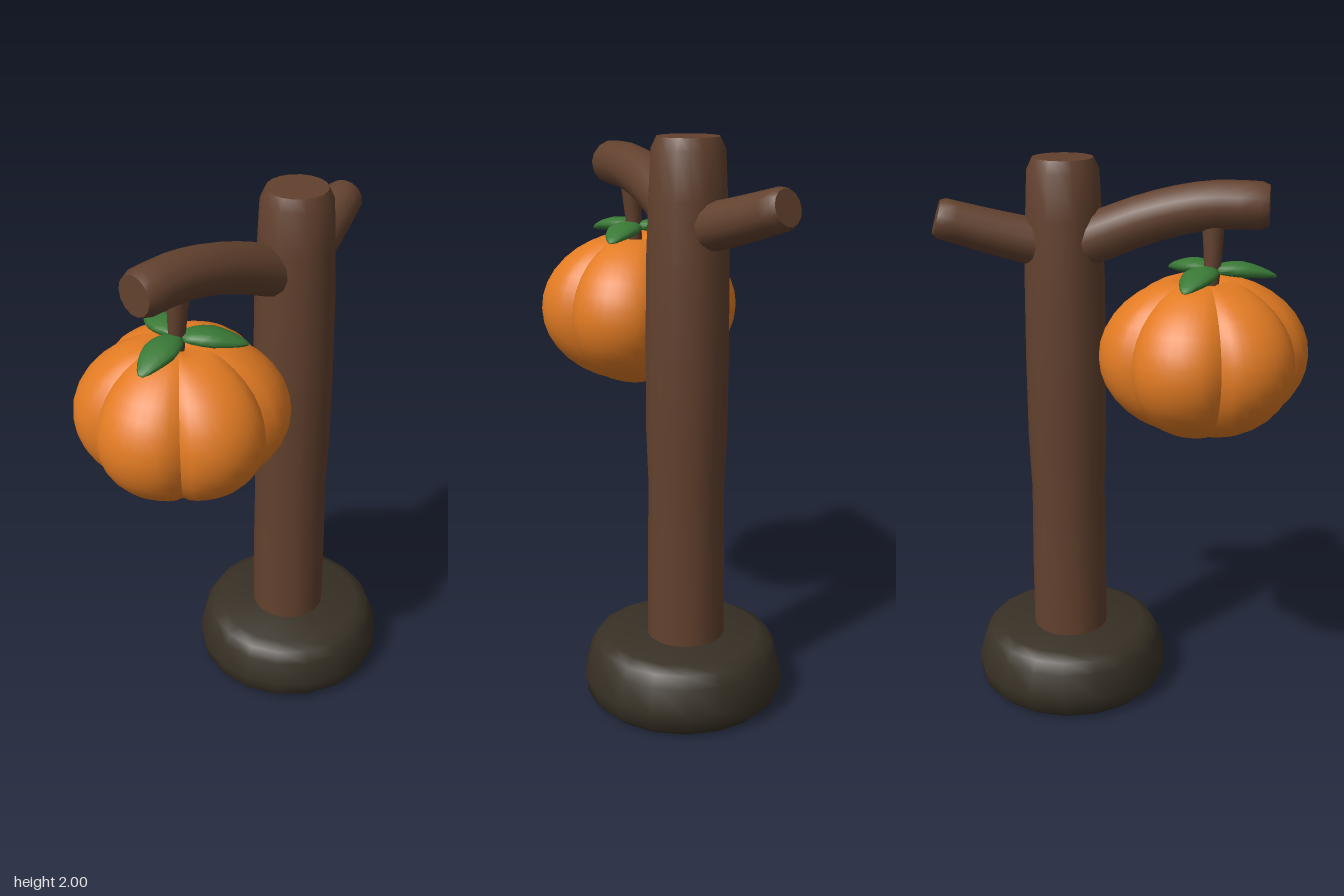
import * as THREE from 'three';
import { mergeVertices, toCreasedNormals } from 'three/addons/utils/BufferGeometryUtils.js';

const V = (x, y, z) => new THREE.Vector3(x, y, z);

const material = (name, color) => {
  const m = new THREE.MeshStandardMaterial({ color });
  m.name = name;
  return m;
};

// Moves every vertex by a rule, then rebuilds normals
function reshape(geometry, rule, crease = 0.9) {
  const p = geometry.attributes.position;
  const v = V(0, 0, 0);
  for (let i = 0; i < p.count; i++) {
    rule(v.fromBufferAttribute(p, i));
    p.setXYZ(i, v.x, v.y, v.z);
  }
  geometry.deleteAttribute('normal');
  geometry.deleteAttribute('uv');
  return toCreasedNormals(mergeVertices(geometry, 1e-5), crease);
}

const lathe = (profile, segments) =>
  new THREE.LatheGeometry(profile.map(([r, y]) => new THREE.Vector2(r, y)), segments);

// Round limb that follows a curve, with a softly bevelled end
function limb(points, r0, r1) {
  const curve = new THREE.CatmullRomCurve3(points);
  const profile = [];
  for (let i = 0; i <= 10; i++) profile.push([r0 + (r1 - r0) * i / 10, i / 10 * 0.96]);
  profile.push([r1 * 0.86, 1], [0, 1]);
  return reshape(lathe(profile, 14), v => {
    const t = THREE.MathUtils.clamp(v.y, 0, 1);
    const along = curve.getTangentAt(t);
    const side = V(0, 0, 1).cross(along).normalize();
    const other = side.clone().cross(along);
    v.copy(curve.getPointAt(t).addScaledVector(side, v.x).addScaledVector(other, v.z));
  });
}

export function createModel() {
  const bark = material('brown bark', 0x62412e);
  const stone = material('dark base', 0x373025);
  const orange = material('pumpkin orange', 0xe27b23);
  const green = material('leaf green', 0x3a7936);

  const model = new THREE.Group();
  model.name = 'pumpkinPost';
  const add = (name, geometry, mat, parent = model) => {
    const mesh = new THREE.Mesh(geometry, mat);
    mesh.name = name;
    parent.add(mesh);
    return mesh;
  };

  // Rounded foot
  const baseProfile = [[0, 0], [0.32, 0], [0.35, 0.03], [0.361, 0.09], [0.338, 0.18],
    [0.315, 0.22], [0.275, 0.24], [0, 0.24]];
  add('base', reshape(lathe(baseProfile, 18), () => {}, 1.1), stone)
    .position.set(0.22, 0, -0.037);

  // Upright post, slightly uneven
  const postProfile = [[0.139, 0.2], [0.138, 0.5], [0.134, 0.8], [0.142, 1.0], [0.143, 1.3],
    [0.14, 1.6], [0.132, 1.8], [0.124, 1.96], [0.105, 2], [0, 2]];
  add('post', reshape(lathe(postProfile, 18), () => {}), bark).position.set(0.22, 0, -0.045);

  // Branches
  add('hangingBranch', limb([V(0.2, 1.69, -0.055), V(0.08, 1.745, -0.03), V(-0.1, 1.815, 0.013),
    V(-0.28, 1.855, 0.06), V(-0.465, 1.857, 0.11)], 0.09, 0.08), bark);
  add('shortBranch', limb([V(0.22, 1.69, -0.05), V(0.4, 1.745, -0.16),
    V(0.585, 1.81, -0.277)], 0.085, 0.07), bark);
  add('stem', limb([V(-0.285, 1.82, 0.058), V(-0.29, 1.7, 0.05), V(-0.29, 1.56, 0.04)],
    0.04, 0.024), bark);

  // Pumpkin made of six bulging lobes with sharp grooves between them
  const pumpkin = new THREE.Group();
  pumpkin.name = 'pumpkin';
  pumpkin.position.set(-0.272, 1.342, 0.03);
  model.add(pumpkin);
  const lobe = reshape(new THREE.SphereGeometry(1, 10, 18, Math.PI / 3, Math.PI / 3), v => {
    const ring = Math.hypot(v.x, v.z);
    const t = THREE.MathUtils.clamp(Math.atan2(v.x, v.z) / (Math.PI / 3) + 0.5, 0, 1);
    const r = 0.315 + 0.05 * Math.pow(Math.max(0, Math.sin(Math.PI * t)), 0.6);
    const dimple = ring < 0.3 ? 0.05 * (1 - ring / 0.3) : 0;
    v.set(v.x * r, v.y * 0.282 - Math.sign(v.y) * dimple, v.z * r);
  }, 1.2);
  for (let i = 0; i < 6; i++) add('pumpkinLobe', lobe, orange, pumpkin).rotation.y = i * Math.PI / 3;

  // Three thick pointed leaves around the stem
  const leaf = reshape(new THREE.SphereGeometry(1, 12, 10).rotateX(Math.PI / 2), v => {
    const s = (v.z + 1) / 2;
    const taper = v.z > 0 ? 1 - 0.35 * v.z : 1;
    v.set(v.x * 0.06 * taper, v.y * 0.026 * taper + 0.02 * s - 0.05 * s * s, s * 0.23);
  }, 1.2);
  const leaves = new THREE.Group();
  leaves.name = 'leaves';
  leaves.position.set(-0.288, 1.638, 0.045);
  model.add(leaves);
  for (const angle of [3.08, 1.02, -1.03]) add('leaf', leaf, green, leaves).rotation.y = angle;

  return model;
}
